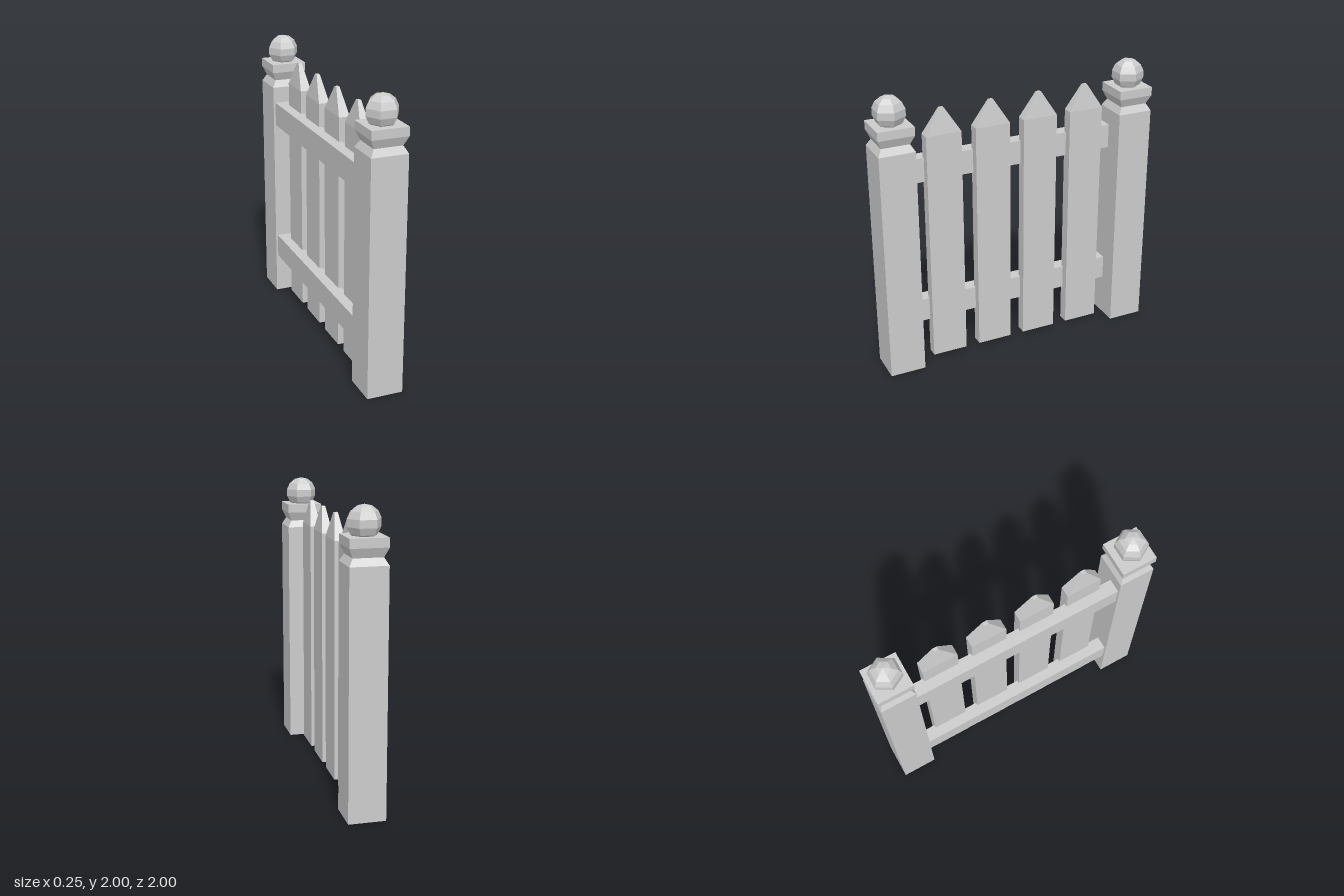
import * as THREE from 'three';

const material = new THREE.MeshStandardMaterial({ color: 0xcccccc, flatShading: true });

function addMesh(parent, name, geometry, x, y, z) {
  const mesh = new THREE.Mesh(geometry, material);
  mesh.name = name;
  mesh.position.set(x, y, z);
  parent.add(mesh);
  return mesh;
}

// Square post with a pinched neck and a wider cap: [half width, height]
function postGeometry() {
  const profile = [[0, 0], [0.125, 0], [0.125, 1.64], [0.098, 1.688], [0.125, 1.75], [0.125, 1.81], [0, 1.81]];
  const points = profile.map(([half, y]) => new THREE.Vector2(half * Math.SQRT2, y));
  return new THREE.LatheGeometry(points, 4).rotateY(Math.PI / 4);
}

// Flat board whose upper end tapers to a small blunt tip
function picketGeometry() {
  const bottom = 0.025, shoulder = 1.69, tip = 1.865;
  const geometry = new THREE.BoxGeometry(0.076, 2, 0.25, 1, 2, 1);
  const p = geometry.attributes.position;
  for (let i = 0; i < p.count; i++) {
    const row = Math.round(p.getY(i));
    p.setY(i, row < 0 ? bottom : row === 0 ? shoulder : tip);
    if (row > 0) {
      p.setX(i, Math.sign(p.getX(i)) * 0.012);
      p.setZ(i, Math.sign(p.getZ(i)) * 0.015);
    }
  }
  geometry.computeVertexNormals();
  return geometry;
}

export function createModel() {
  const fence = new THREE.Group();
  fence.name = 'fence';

  // End posts with faceted ball finials
  const post = postGeometry();
  const ball = new THREE.SphereGeometry(0.112, 6, 7);
  for (const z of [0.875, -0.875]) {
    const group = new THREE.Group();
    group.name = 'endPost';
    group.position.z = z;
    addMesh(group, 'post', post, 0, 0, 0);
    addMesh(group, 'ballFinial', ball, 0, 1.888, 0);
    fence.add(group);
  }

  // Pointed pickets
  const picket = picketGeometry();
  for (const z of [0.522, 0.171, -0.181, -0.532]) addMesh(fence, 'picket', picket, 0, 0, z);

  // Rails behind the pickets
  const rail = new THREE.BoxGeometry(0.095, 0.17, 1.52);
  addMesh(fence, 'lowerRail', rail, -0.063, 0.38, 0);
  addMesh(fence, 'upperRail', rail, -0.063, 1.44, 0);

  return fence;
}
